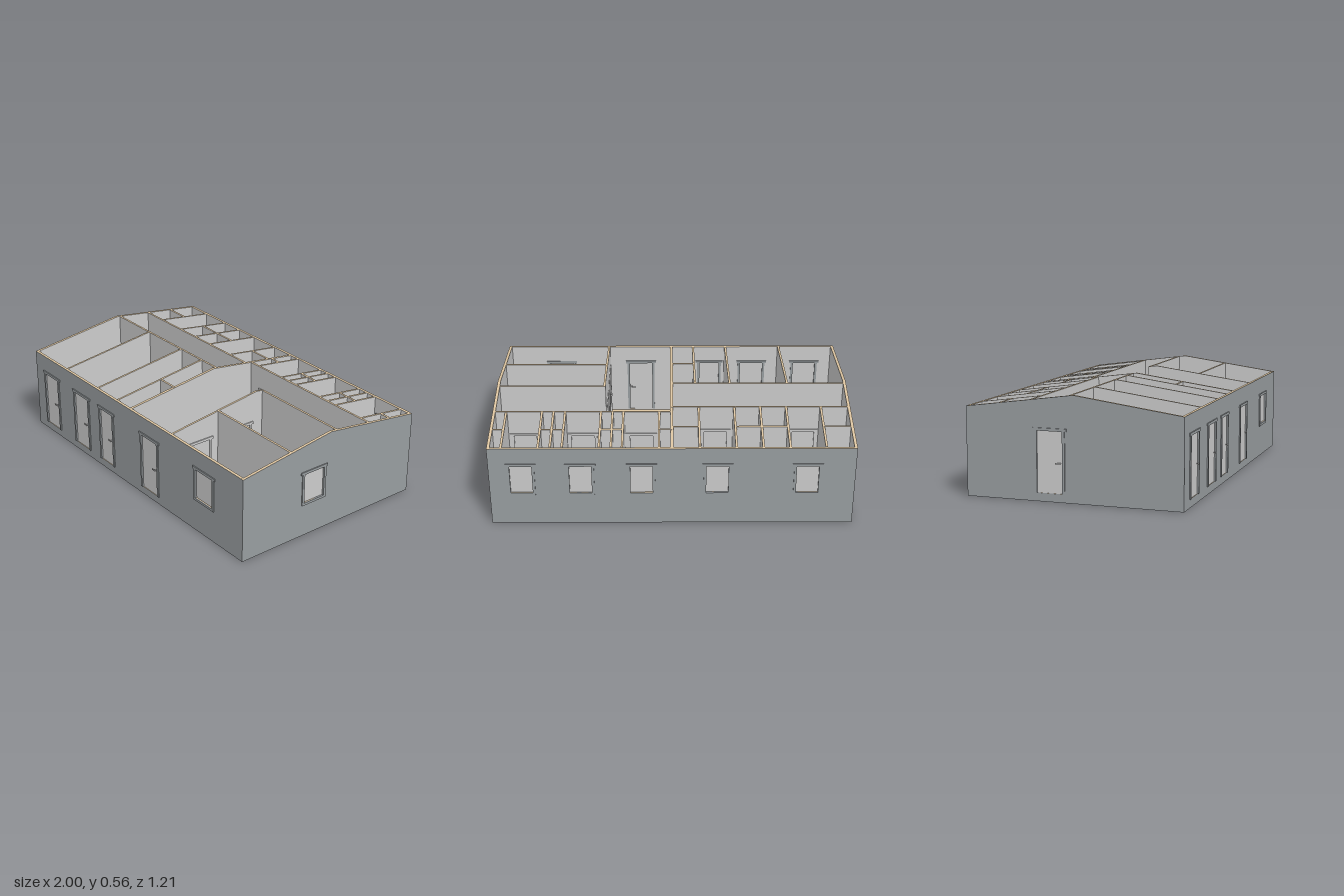
import * as THREE from 'three';

const grey = new THREE.MeshStandardMaterial({ color: 0xcccccc });
const slate = new THREE.MeshStandardMaterial({ color: 0x989da0 });
const tan = new THREE.MeshStandardMaterial({ color: 0xdcc4a0 });

const T = 0.016;      // outer wall thickness
const P = 0.012;      // partition thickness
const FLOOR = 0.035;
const HEAD = 0.37;    // top of all openings
const BACK = -0.599, FRONT = 0.589, LEFT = -0.989, RIGHT = 0.993;
const roofY = z => 0.56 - 0.137 * Math.abs(z);

function box(parent, name, material, w, h, d, x, y, z) {
  const mesh = new THREE.Mesh(new THREE.BoxGeometry(w, h, d), material);
  mesh.name = name;
  mesh.position.set(x, y, z);
  parent.add(mesh);
  return mesh;
}

// Wall slab with holes; top and bottom tan, the outer side slate
function slab(outline, openings, t, outer) {
  const shape = new THREE.Shape(outline.map(p => new THREE.Vector2(...p)));
  for (const o of openings) {
    shape.holes.push(new THREE.Path([[o.a, o.y], [o.a, HEAD], [o.b, HEAD], [o.b, o.y]]
      .map(p => new THREE.Vector2(...p))));
  }
  const geo = new THREE.ExtrudeGeometry(shape, { depth: t, bevelEnabled: false });
  geo.translate(0, 0, -t / 2);
  const n = geo.attributes.normal;
  geo.clearGroups();
  for (let i = 0; i < n.count; i += 3) {
    const outside = outer !== 0 && n.getZ(i) * outer > -0.5;
    geo.addGroup(i, 3, Math.abs(n.getY(i)) > 0.5 ? 2 : outside ? 1 : 0);
  }
  const mesh = new THREE.Mesh(geo, [grey, slate, tan]);
  mesh.name = 'wallPanel';
  return mesh;
}

// Panel, frame with a wider head, and a sill or a pair of handles
function fitOpening(wall, o, t, material) {
  const { a, b, y, isDoor } = o;
  const mid = (a + b) / 2, w = b - a, h = HEAD - y, f = 0.014, d = t + 0.012;
  const part = new THREE.Group();
  part.name = isDoor ? 'door' : 'window';
  box(part, isDoor ? 'doorLeaf' : 'pane', grey, w, h, isDoor ? 0.01 : 0.006, mid, y + h / 2, 0);
  for (const [edge, s] of [[a, -1], [b, 1]]) {
    box(part, 'jamb', material, f, h, d, edge + s * f / 2, y + h / 2, 0);
  }
  box(part, 'head', material, w + 0.046, 0.015, d, mid, HEAD + 0.0075, 0);
  if (isDoor) {
    const end = o.handle > 0 ? b : a, x = end - o.handle * 0.012;
    box(part, 'handleSpindle', grey, 0.006, 0.006, t + 0.022, x, 0.205, 0);
    for (const s of [-1, 1]) {
      box(part, 'handleLever', grey, 0.026, 0.006, 0.004, x - o.handle * 0.01, 0.205, s * (t / 2 + 0.009));
    }
  } else {
    box(part, 'sill', material, w + 2 * f, f, d, mid, y - f / 2, 0);
  }
  wall.add(part);
}

const door = (a, b, handle) => ({ a, b, y: 0.045, isDoor: true, handle });
const window_ = (a, b) => ({ a, b, y: 0.2, isDoor: false });

// axis 'x': wall at z = pos running from a to b in x; axis 'z': wall at x = pos running in z
function addWall(parent, name, axis, pos, a, b, { t = P, openings = [], outer = 0, base = 0.01 } = {}) {
  const wall = new THREE.Group();
  wall.name = name;
  const outline = [[a, base], [b, base]];
  if (axis === 'x') {
    outline.push([b, roofY(pos)], [a, roofY(pos)]);
    wall.position.z = pos;
  } else {
    outline.push([b, roofY(b)]);
    if (a < 0 && b > 0) outline.push([0, roofY(0)]);
    outline.push([a, roofY(a)]);
    wall.rotation.y = -Math.PI / 2;
    wall.position.x = pos;
  }
  wall.add(slab(outline, openings, t, outer));
  for (const o of openings) fitOpening(wall, o, t, outer ? slate : grey);
  parent.add(wall);
}

export function createModel() {
  const house = new THREE.Group();
  house.name = 'house';

  // Floor slab: tan on top, grey below
  const floor = box(house, 'floor', grey, RIGHT - LEFT - 2 * T, FLOOR - 0.004, FRONT - BACK - 2 * T,
    (LEFT + RIGHT) / 2, (FLOOR + 0.004) / 2, (FRONT + BACK) / 2);
  floor.material = [grey, grey, tan, grey, grey, grey];

  // Outer walls
  const il = LEFT + T, ir = RIGHT - T, ib = BACK + T, fi = FRONT - T;
  addWall(house, 'frontWall', 'x', FRONT - T / 2, il, ir, {
    t: T, outer: 1, base: 0,
    openings: [door(-0.882, -0.748, 1), door(-0.558, -0.422, 1), door(-0.289, -0.171, 1),
      door(0.121, 0.259, 1), window_(0.607, 0.747)],
  });
  addWall(house, 'backWall', 'x', BACK + T / 2, il, ir, {
    t: T, outer: -1, base: 0,
    openings: [-0.73, -0.243, 0.167, 0.497, 0.818].map(x => window_(x - 0.06, x + 0.06)),
  });
  addWall(house, 'leftGable', 'z', LEFT + T / 2, BACK, FRONT,
    { t: T, outer: 1, base: 0, openings: [door(-0.2, -0.06, 1)] });
  addWall(house, 'rightGable', 'z', RIGHT - T / 2, BACK, FRONT,
    { t: T, outer: -1, base: 0, openings: [window_(0.045, 0.18)] });

  // Long inner walls
  const mid = 0.003;
  addWall(house, 'middleWall', 'z', mid, ib, fi, { t: T });
  addWall(house, 'hallBackWall', 'x', -0.237, il, mid,
    { openings: [door(-0.795, -0.672, -1), door(-0.305, -0.178, -1)] });
  addWall(house, 'hallFrontWall', 'x', -0.021, il, mid,
    { openings: [door(-0.88, -0.753, -1), door(-0.55, -0.432, -1), door(-0.283, -0.16, -1)] });
  addWall(house, 'loungeBackWall', 'x', -0.278, mid, ir,
    { openings: [door(0.108, 0.235, -1), door(0.433, 0.562, -1), door(0.757, 0.882, -1)] });

  // Back rooms: cross walls, then short walls splitting the small rooms
  for (const x of [-0.825, -0.632, -0.488, -0.344, -0.147]) {
    addWall(house, 'backPartition', 'z', x, ib, -0.237);
  }
  for (const x of [0.072, 0.27, 0.33, 0.394, 0.592, 0.656, 0.72, 0.918]) {
    addWall(house, 'backPartition', 'z', x, ib, -0.278);
  }
  for (const [a, b] of [[il, -0.825], [-0.632, -0.344], [-0.147, mid]]) {
    addWall(house, 'smallRoomWall', 'x', -0.41, a, b);
  }
  for (const [a, b] of [[mid, 0.072], [0.27, 0.394], [0.592, 0.72], [0.918, ir]]) {
    addWall(house, 'smallRoomWall', 'x', -0.433, a, b);
  }

  // Front rooms
  for (const x of [-0.653, -0.327, -0.13]) addWall(house, 'frontPartition', 'z', x, -0.021, fi);
  addWall(house, 'smallRoomWall', 'x', 0.278, -0.13, mid);
  addWall(house, 'bedroomSideWall', 'z', 0.383, -0.051, fi,
    { openings: [door(0.05, 0.175, 1), door(0.33, 0.49, 1)] });
  addWall(house, 'bedroomBackWall', 'x', -0.045, 0.383, ir);
  addWall(house, 'bedroomDivider', 'x', 0.267, 0.383, ir);

  return house;
}
